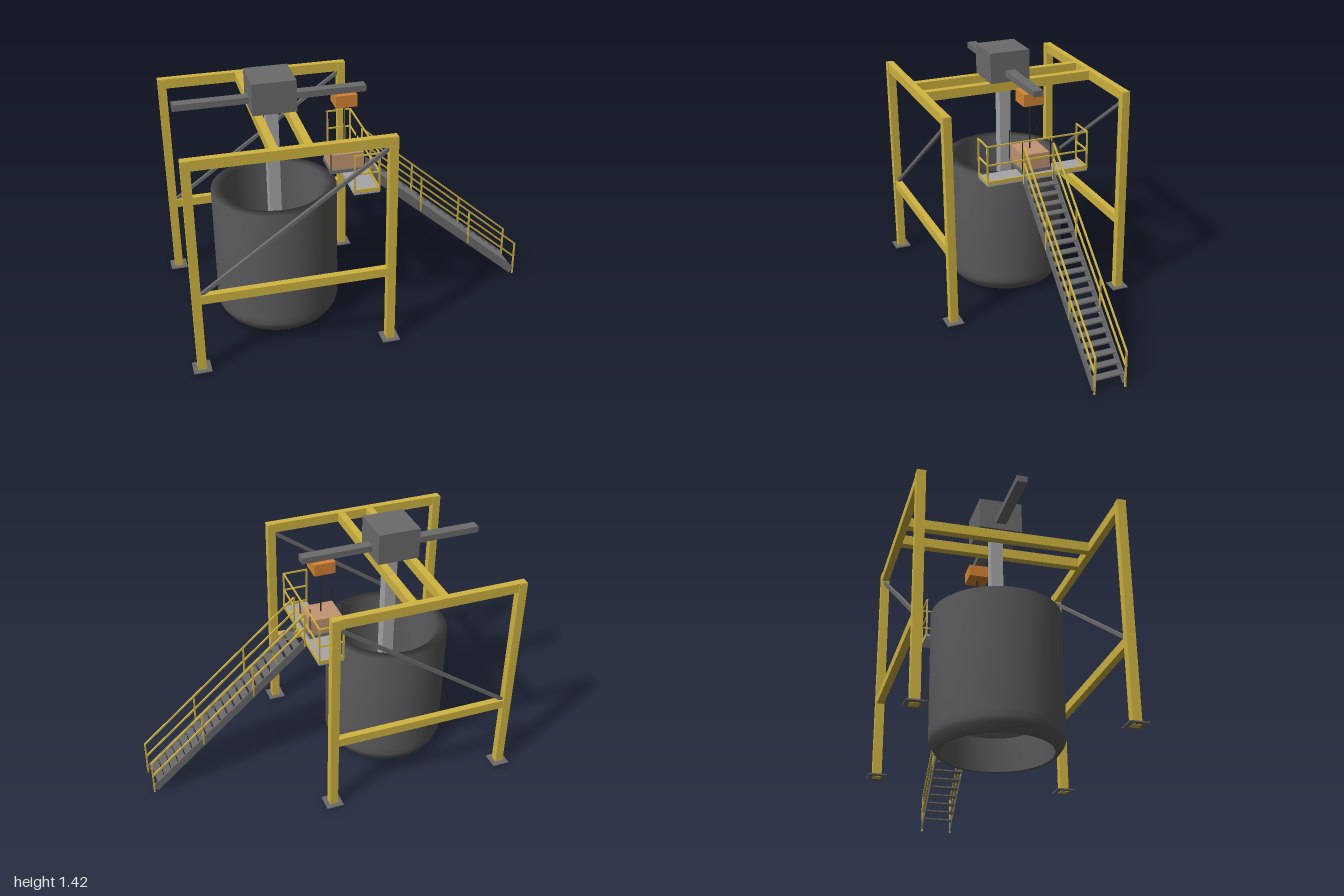
import * as THREE from 'three';

export function createModel() {
  const root = new THREE.Group();
  const mat = (name, color) => {
    const m = new THREE.MeshStandardMaterial({ color });
    m.name = name;
    return m;
  };
  const yellow = mat('safety yellow', 0xd0b440);
  const grey = mat('steel grey', 0x6b6b6b);
  const vesselGrey = mat('vessel dark grey', 0x58585a);
  const lightGrey = mat('light grey', 0xa6a6a8);
  const orange = mat('hoist orange', 0xd48432);
  const tan = mat('brick tan', 0xc39572);
  const black = mat('cable black', 0x2a2a2a);

  function add(name, geo, material, parent = root) {
    const m = new THREE.Mesh(geo, material);
    m.name = name;
    parent.add(m);
    return m;
  }
  // Box from its minimum and maximum corners
  function box(name, material, [x0, y0, z0], [x1, y1, z1], parent) {
    const m = add(name, new THREE.BoxGeometry(x1 - x0, y1 - y0, z1 - z0), material, parent);
    m.position.set((x0 + x1) / 2, (y0 + y1) / 2, (z0 + z1) / 2);
    return m;
  }
  // Square bar between two points
  function bar(name, material, a, b, height, depth = height, parent = root) {
    const p = new THREE.Vector3(...a), q = new THREE.Vector3(...b);
    const m = add(name, new THREE.BoxGeometry(depth, height, p.distanceTo(q)), material, parent);
    m.position.copy(p).add(q).multiplyScalar(0.5);
    m.lookAt(q);
    return m;
  }
  function group(name) {
    const g = new THREE.Group();
    g.name = name;
    root.add(g);
    return g;
  }

  // Gantry: two side frames joined by two cross beams
  const gantry = group('gantry');
  const legXs = [-0.954, 0.075];
  for (const s of [-1, 1]) {
    const z = s * 0.517;
    for (const x of legXs) {
      box('leg', yellow, [x - 0.023, 0.018, z - 0.023], [x + 0.023, 1.243, z + 0.023], gantry);
      box('basePlate', grey, [x - 0.048, 0.02, z - 0.048], [x + 0.048, 0.026, z + 0.048], gantry);
    }
    box('topBeam', yellow, [-0.97, 1.19, z - 0.019], [0.09, 1.245, z + 0.019], gantry);
    box('middleBeam', yellow, [-0.97, 0.43, z - 0.019], [0.09, 0.48, z + 0.019], gantry);
    bar('brace', grey, [-0.93, 0.477, z], [0.06, 1.18, z], 0.018, 0.018, gantry);
  }
  for (const x of [-0.523, -0.349]) {
    box('crossBeam', yellow, [x - 0.021, 1.19, -0.5], [x + 0.021, 1.244, 0.5], gantry);
  }

  // Drive head, hoist rail and mast
  const cx = -0.438;
  box('driveHousing', grey, [-0.555, 1.245, -0.117], [-0.32, 1.42, 0.117]);
  box('hoistRail', grey, [-0.952, 1.278, -0.028], [0.075, 1.313, 0.028]);
  box('mast', lightGrey, [cx - 0.033, 0.19, -0.033], [cx + 0.033, 1.25, 0.033]);

  // Open-ended vessel with chamfered foot
  const profile = [
    [0.285, 0.02], [0.306, 0.02], [0.335, 0.06], [0.343, 0.085], [0.343, 0.12],
    [0.343, 0.77], [0.285, 0.77], [0.285, 0.02],
  ].map(([r, y]) => new THREE.Vector2(r, y));
  add('vessel', new THREE.LatheGeometry(profile, 48), vesselGrey).position.x = cx;

  // Round work platform inside the vessel
  const platform = group('workPlatform');
  platform.position.x = cx;
  add('platformDisc', new THREE.CylinderGeometry(0.22, 0.22, 0.02, 40), grey, platform).position.y = 0.19;
  for (const y of [0.3, 0.4]) {
    const ring = add('platformRail', new THREE.TorusGeometry(0.214, 0.004, 6, 40), yellow, platform);
    ring.rotation.x = Math.PI / 2;
    ring.position.y = y;
  }
  for (let i = 0; i < 8; i++) {
    const a = (i + 0.5) * Math.PI / 4;
    const x = 0.214 * Math.cos(a), z = 0.214 * Math.sin(a);
    bar('platformPost', yellow, [x, 0.2, z], [x, 0.4, z], 0.008, 0.008, platform);
  }
  box('platformBricks', tan, [-0.066, 0.2, 0.05], [0.066, 0.3, 0.18], platform);

  // Access landing with toe boards and railing
  const landing = group('landing');
  const [lx0, lx1, lz] = [-0.065, 0.078, 0.297];
  box('landingDeck', lightGrey, [lx0, 0.808, -lz], [lx1, 0.822, lz], landing);
  box('toeBoard', yellow, [lx1 - 0.005, 0.817, -lz], [lx1 + 0.001, 0.838, lz], landing);
  for (const s of [-1, 1]) {
    const z = s * (lz - 0.003);
    box('toeBoard', yellow, [lx0, 0.817, z - 0.003], [lx1, 0.838, z + 0.003], landing);
    for (const x of [lx0 + 0.004, lx1 - 0.004]) {
      bar('landingPost', yellow, [x, 0.82, z], [x, 1.04, z], 0.009, 0.009, landing);
    }
    for (const y of [0.93, 1.037]) {
      bar('landingRail', yellow, [lx0, y, z], [lx1, y, z], 0.008, 0.008, landing);
    }
  }
  for (const y of [0.93, 1.037]) {
    bar('landingRail', yellow, [lx1 - 0.004, y, -lz], [lx1 - 0.004, y, lz], 0.008, 0.008, landing);
  }

  // Stairs with open treads
  const stairs = group('stairs');
  const stairY = (x) => 0.812 - (x - 0.09) * 0.877;
  for (const s of [-1, 1]) {
    const z = s * 0.087;
    bar('stringer', grey, [0.075, stairY(0.075), z], [0.982, stairY(0.982), z], 0.045, 0.008, stairs);
    for (const [dy, name] of [[0.19, 'handrail'], [0.1, 'middleRail']]) {
      bar(name, yellow, [0.085, stairY(0.085) + dy, z], [0.99, stairY(0.99) + dy, z], 0.009, 0.009, stairs);
    }
    for (const x of [0.085, 0.385, 0.685, 0.988]) {
      const bottom = Math.max(0, stairY(x) - 0.02);
      bar('stairPost', yellow, [x, bottom, z], [x, stairY(x) + 0.19, z], 0.009, 0.009, stairs);
    }
  }
  const treads = 20;
  for (let i = 0; i < treads; i++) {
    const x = 0.123 + i * 0.0432;
    const y = stairY(x) + 0.005;
    box('tread', grey, [x - 0.022, y - 0.004, -0.085], [x + 0.022, y + 0.004, 0.085], stairs);
  }

  // Hoist with its cable and the suspended brick pallet
  box('hoist', orange, [-0.1, 1.21, -0.059], [0.018, 1.278, 0.059]);
  bar('hoistCable', black, [-0.041, 0.94, 0], [-0.041, 1.22, 0], 0.006);
  box('pallet', grey, [-0.14, 0.838, -0.088], [0.055, 0.856, 0.088]);
  box('brickStack', tan, [-0.135, 0.856, -0.078], [0.05, 0.945, 0.078]);
  for (const x of [-0.136, 0.052]) {
    for (const z of [-0.083, 0.083]) {
      bar('palletRod', black, [x, 0.85, z], [x, 1.03, z], 0.004);
    }
  }
  return root;
}
